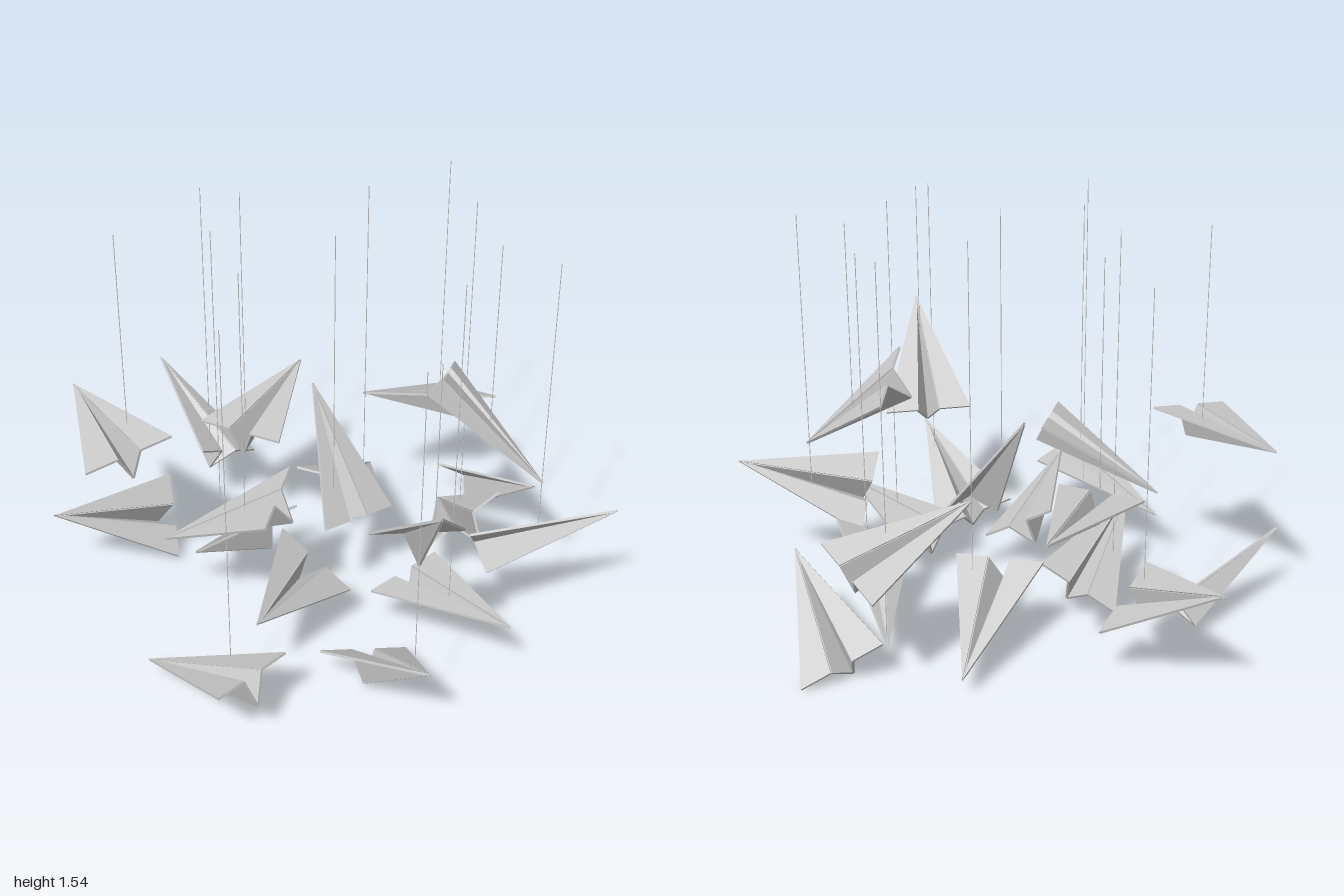
import * as THREE from 'three';

const LENGTH = 0.52, HALF_SPAN = 0.167, ROOT = 0.045, DEPTH = 0.115, PAPER = 0.009;

// Folded sheet with its nose at the origin, pointing to +z:
// two wings and a V-shaped body, each a thin triangular panel.
function foldedPaper() {
  const v = (x, y, z) => new THREE.Vector3(x, y, z);
  const nose = v(0, 0, 0), keel = v(0, -DEPTH, 0.015 - LENGTH);
  const [tipL, rootL, rootR, tipR] = [HALF_SPAN, ROOT, -ROOT, -HALF_SPAN].map(x => v(x, 0, -LENGTH));
  const points = [];
  for (const [b, c] of [[tipL, rootL], [rootL, keel], [keel, rootR], [rootR, tipR]]) {
    const n = b.clone().cross(c).setLength(PAPER / 2);
    const top = [nose, b, c].map(p => p.clone().add(n));
    const low = [nose, b, c].map(p => p.clone().sub(n));
    points.push(...top, low[2], low[1], low[0]);
    for (let i = 0; i < 3; i++) {
      const j = (i + 1) % 3;
      points.push(low[i], low[j], top[j], low[i], top[j], top[i]);
    }
  }
  const geometry = new THREE.BufferGeometry().setFromPoints(points);
  geometry.computeVertexNormals();
  return geometry;
}

// Each glider: nose position, [yaw, pitch, roll] in degrees, and its thread
// as x, z and, where it differs from the usual, the height of its top.
const THREAD_TOP = 1.5;
const gliders = [
  [[0.06, 0.5, -1], [175, 24, 29], [-0.04, -0.57, 1.445]],
  [[-0.76, 0.31, -0.62], [-103, 20, -45]],
  [[-0.54, 0.74, -0.745], [166, 1, -9], [-0.56, -0.39]],
  [[0.36, 0.6, -0.47], [111, 4, 0], [-0.03, -0.36]],
  [[-0.535, 0.34, -0.055], [-70, 20, 35], [-0.305, -0.19]],
  [[0.58, 0.09, -0.285], [119, -27, 3], [0.265, -0.01, 1.546]],
  [[0.335, 0.63, -0.09], [-103, 16, 18], [0.627, 0.04, 1.546]],
  [[-0.583, 0.36, -0.17], [-151, -33, -7], [-0.43, 0.1]],
  [[-0.636, 0.34, 0.395], [-66, 10, -32]],
  [[0.034, 0.82, -0.05], [168, 51, 14], [-0.083, 0.187, 1.546]],
  [[-0.847, 0.085, 0.05], [-171, -22, 5], [-0.71, 0.337]],
  [[0.615, 0.08, 0.07], [144, -27, -33], [0.526, 0.264]],
  [[0.668, 0.34, 0.51], [-19, 29, -33]],
  [[0.409, 0.605, 0.745], [17, -42, -26], [0.335, 0.55]],
  [[0.05, 0.267, 0.94], [0, 6, 0], [0.048, 0.652]],
  [[-0.415, 0.37, 0.99], [-17, 29, -15], [-0.355, 0.87, 1.445]],
  [[-0.355, 0.95, 0.96], [-36, 41, -2], [-0.29, 0.87, 1.445]],
  [[0.578, 0.515, 0.96], [47, 16, -48], [0.385, 0.76]],
];

export function createModel() {
  const model = new THREE.Group();
  model.name = 'hangingPaperPlanes';
  const paper = new THREE.MeshStandardMaterial({ color: 0xcccccc, flatShading: true });
  const threadMaterial = new THREE.MeshStandardMaterial({ color: 0xcccccc });
  const sheet = foldedPaper();

  gliders.forEach(([nose, angles, thread], i) => {
    const group = new THREE.Group();
    group.name = `paperPlane${i + 1}`;
    const plane = new THREE.Mesh(sheet, paper);
    plane.name = 'foldedSheet';
    plane.position.set(...nose);
    const [yaw, pitch, roll] = angles.map(THREE.MathUtils.degToRad);
    plane.rotation.set(-pitch, yaw, roll, 'YXZ');
    group.add(plane);

    // Thread drops to the surface of the wings below it.
    if (thread) {
      const [x, z, top = THREAD_TOP] = thread;
      const up = new THREE.Vector3(0, 1, 0).applyQuaternion(plane.quaternion);
      const bottom = nose[1] - (up.x * (x - nose[0]) + up.z * (z - nose[2])) / up.y;
      const line = new THREE.Mesh(new THREE.CylinderGeometry(0.0015, 0.0015, top - bottom, 6), threadMaterial);
      line.name = 'thread';
      line.position.set(x, (top + bottom) / 2, z);
      group.add(line);
    }
    model.add(group);
  });
  return model;
}
